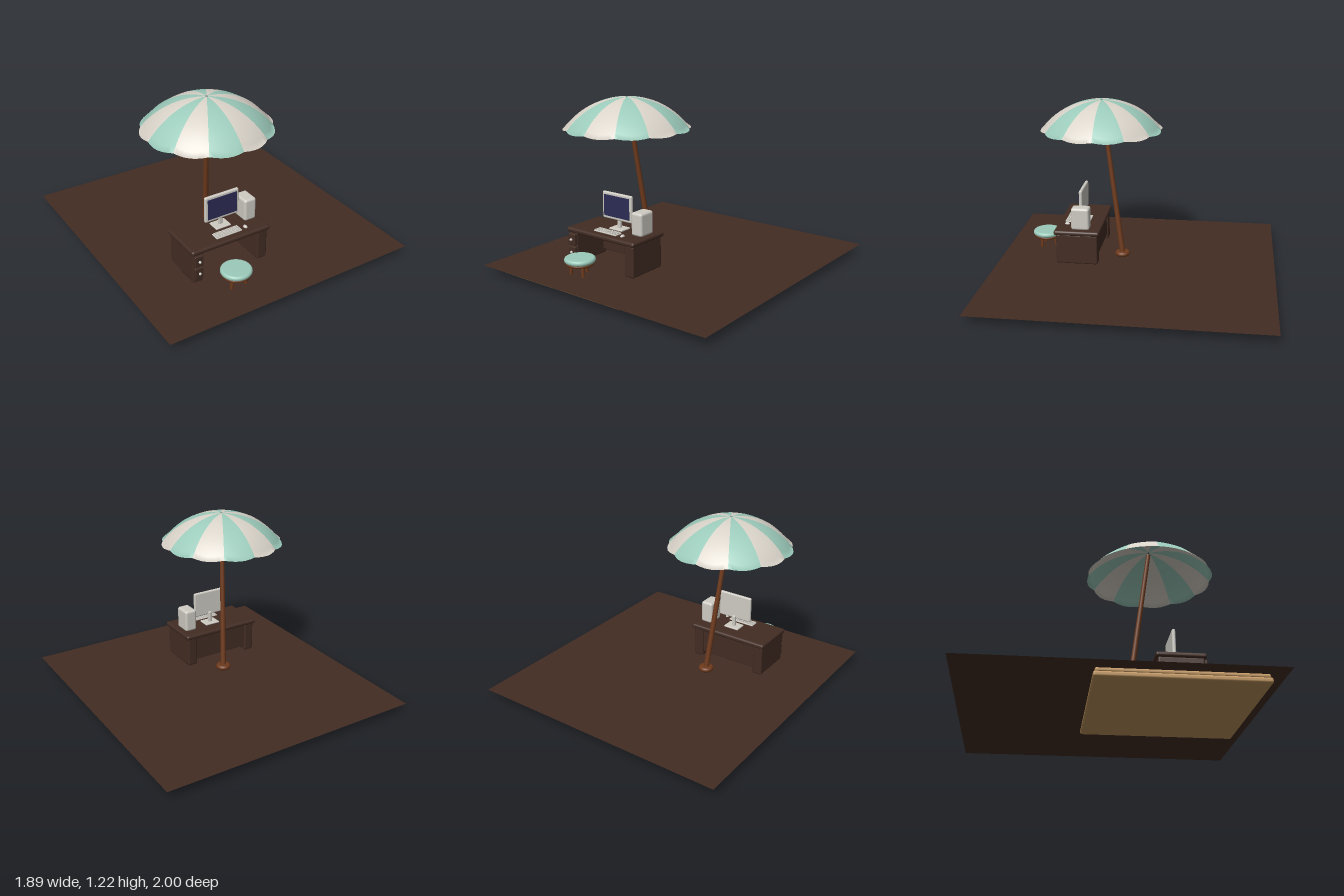
import * as THREE from 'three';
import { RoundedBoxGeometry } from 'three/addons/geometries/RoundedBoxGeometry.js';
import { ParametricGeometry } from 'three/addons/geometries/ParametricGeometry.js';

const paint = (name, color, side = THREE.FrontSide) => {
  const m = new THREE.MeshStandardMaterial({ color, side });
  m.name = name;
  return m;
};

export function createModel() {
  const darkWood = paint('darkWood', 0x432d24);
  const floorBrown = paint('floorBrown', 0x432d24, THREE.DoubleSide);
  const redWood = paint('redWood', 0x6e3a1c);
  const tan = paint('tan', 0xbf945d);
  const mint = paint('mint', 0x9ccbbb);
  const mintCloth = paint('mintCloth', 0x9ccbbb, THREE.DoubleSide);
  const creamCloth = paint('creamCloth', 0xd9d3c9, THREE.DoubleSide);
  const plastic = paint('plastic', 0xcfccc4);
  const screenBlue = paint('screenBlue', 0x2d2c55);

  const model = new THREE.Group();
  model.name = 'parasolDesk';
  const group = (name) => {
    const g = new THREE.Group();
    g.name = name;
    model.add(g);
    return g;
  };
  const add = (parent, name, geo, mat, x = 0, y = 0, z = 0) => {
    const m = new THREE.Mesh(geo, mat);
    m.name = name;
    m.position.set(x, y, z);
    parent.add(m);
    return m;
  };
  // rounded box given by its extents on each axis
  const block = (parent, name, mat, [x0, x1], [y0, y1], [z0, z1], r = 0.008) =>
    add(parent, name, new RoundedBoxGeometry(x1 - x0, y1 - y0, z1 - z0, 3, r), mat,
      (x0 + x1) / 2, (y0 + y1) / 2, (z0 + z1) / 2);
  // turned disc with a rounded edge
  const disc = (parent, name, mat, r, h, x, y, z) => {
    const e = h * 0.45;
    const pts = [new THREE.Vector2(0, -h / 2)];
    for (let i = 0; i <= 8; i++) {
      const a = -Math.PI / 2 + (i / 8) * Math.PI;
      pts.push(new THREE.Vector2(r - e + e * Math.cos(a), (h / 2) * Math.sin(a)));
    }
    pts.push(new THREE.Vector2(0, h / 2));
    return add(parent, name, new THREE.LatheGeometry(pts, 32), mat, x, y, z);
  };
  // tapered rod between two points
  const rod = (parent, name, mat, from, to, r0, r1) => {
    const d = to.clone().sub(from);
    const m = add(parent, name, new THREE.CylinderGeometry(r1, r0, d.length(), 16), mat);
    m.position.copy(from).addScaledVector(d, 0.5);
    m.quaternion.setFromUnitVectors(new THREE.Vector3(0, 1, 0), d.normalize());
    return m;
  };
  const V = (x, y, z) => new THREE.Vector3(x, y, z);

  // ground sheet over a two-layer platform
  const ground = group('ground');
  add(ground, 'floorSheet', new THREE.PlaneGeometry(1.89, 2).rotateX(-Math.PI / 2), floorBrown, 0, 0.065, 0);
  block(ground, 'lowerPlatform', tan, [-0.853, 0.217], [0, 0.037], [-0.166, 0.904], 0.014);
  block(ground, 'upperPlatform', tan, [-0.842, 0.206], [0.034, 0.063], [-0.155, 0.893], 0.012);

  // parasol: twelve puffed cloth panels on a leaning pole
  const parasol = group('parasol');
  const step = Math.PI / 6;
  for (let i = 0; i < 12; i++) {
    const panel = (u, v, target) => {
      const a = (i + u) * step;
      const puff = Math.sin(u * Math.PI) * v;
      const r = THREE.MathUtils.lerp(0.008, 0.427 + 0.013 * puff, v);
      const drop = 0.545 - Math.sqrt(0.545 ** 2 - Math.min(r, 0.427) ** 2);
      target.set(r * Math.sin(a), 1.222 - drop - 0.008 * puff * v * v, -r * Math.cos(a));
    };
    add(parasol, 'canopyPanel', new ParametricGeometry(panel, 6, 14),
      i % 2 ? creamCloth : mintCloth, -0.235, 0, 0.275);
  }
  rod(parasol, 'pole', redWood, V(-0.155, 0.08, 0.117), V(-0.235, 1.205, 0.273), 0.02, 0.015);
  disc(parasol, 'poleFoot', redWood, 0.054, 0.036, -0.155, 0.082, 0.117);

  // desk
  const desk = group('desk');
  block(desk, 'deskTop', darkWood, [-0.54, 0.07], [0.285, 0.32], [0.257, 0.588], 0.015);
  block(desk, 'drawerPillar', darkWood, [-0.527, -0.453], [0.066, 0.29], [0.272, 0.574], 0.012);
  block(desk, 'sidePillar', darkWood, [-0.022, 0.055], [0.066, 0.29], [0.272, 0.574], 0.012);
  block(desk, 'backPanel', darkWood, [-0.46, -0.015], [0.1, 0.29], [0.285, 0.31], 0.005);
  for (const y of [0.145, 0.237]) {
    block(desk, 'drawerFront', darkWood, [-0.522, -0.458], [y - 0.041, y + 0.041], [0.565, 0.592], 0.006);
    add(desk, 'drawerKnob', new THREE.SphereGeometry(0.01, 12, 8), plastic, -0.49, y, 0.597);
  }

  // computer: monitor, tower, keyboard and mouse
  const computer = group('computer');
  block(computer, 'monitorCase', plastic, [-0.343, -0.08], [0.386, 0.578], [0.402, 0.427], 0.011);
  add(computer, 'screen', new THREE.BoxGeometry(0.227, 0.151, 0.006), screenBlue, -0.2115, 0.4825, 0.427);
  block(computer, 'monitorNeck', plastic, [-0.225, -0.197], [0.325, 0.41], [0.388, 0.41], 0.007);
  block(computer, 'monitorBase', plastic, [-0.27, -0.152], [0.318, 0.331], [0.355, 0.447], 0.006);
  block(computer, 'tower', plastic, [-0.055, 0.038], [0.32, 0.484], [0.333, 0.465], 0.018);
  block(computer, 'keyboard', plastic, [-0.325, -0.125], [0.318, 0.328], [0.475, 0.54], 0.004);
  for (let row = 0; row < 4; row++)
    for (let k = 0; k < 12; k++)
      add(computer, 'key', new THREE.BoxGeometry(0.012, 0.005, 0.011), plastic,
        -0.313 + k * 0.016, 0.33, 0.486 + row * 0.0145);
  add(computer, 'mouse', new THREE.SphereGeometry(1, 16, 10).scale(0.013, 0.012, 0.019), plastic, -0.085, 0.322, 0.515);

  // three-legged stool
  const stool = group('stool');
  disc(stool, 'seatCushion', mint, 0.107, 0.036, -0.29, 0.172, 0.717);
  disc(stool, 'seatFrame', redWood, 0.097, 0.018, -0.29, 0.147, 0.717);
  for (let i = 0; i < 3; i++) {
    const a = Math.PI + (i * Math.PI * 2) / 3;
    const at = (r, y) => V(-0.29 + r * Math.sin(a), y, 0.717 + r * Math.cos(a));
    rod(stool, 'stoolLeg', redWood, at(0.064, 0.065), at(0.058, 0.146), 0.01, 0.013);
  }
  return model;
}
